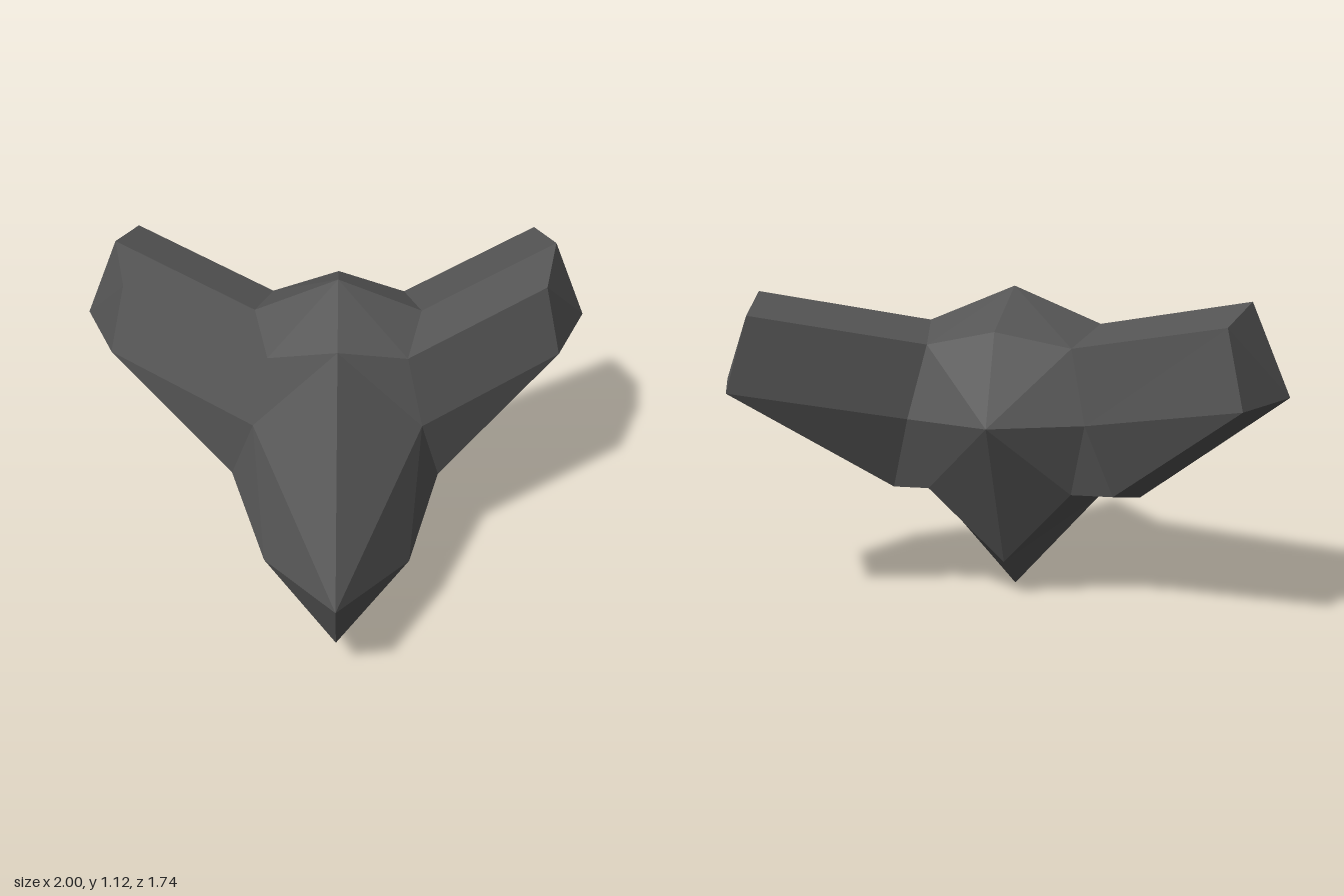
import * as THREE from 'three';

// Body is a faceted ball (a rounded cube grid); keys give direction as [side, up, front]
const R = 0.45, CENTRE = new THREE.Vector3(0.012, 0.67, -0.23);

const T = [0, 1, 0], TF = [0, 1, 1], TB = [0, 1, -1], TS = [1, 1, 0], TFS = [1, 1, 1], TBS = [1, 1, -1];
const F = [0, 0, 1], FS = [1, 0, 1], B = [0, 0, -1], BS = [1, 0, -1], S = [1, 0, 0];
const L = [0, -1, 0], LF = [0, -1, 1], LB = [0, -1, -1], LS = [1, -1, 0], LFS = [1, -1, 1], LBS = [1, -1, -1];

// Pulls that stretch the ball into the nose and the keel
const pulls = new Map([
  [F, [0, -0.25, 0.65]],
  [LF, [0, -0.22, 0.61]],
  [LFS, [0.01, -0.12, 0.39]],
  [L, [0, -0.22, 0]],
  [LB, [0, -0.22, 0.13]],
]);

const ball = (key, s) =>
  new THREE.Vector3(key[0] * s, key[1], key[2]).normalize().multiplyScalar(R).add(CENTRE);

function bodyPoint(key, s) {
  const p = ball(key, s);
  const [dx, dy, dz] = pulls.get(key) ?? [0, 0, 0];
  return p.add(new THREE.Vector3(dx * s, dy, dz));
}

// Wing tip: upper points sweep out, up and back; lower points only slide out
function tipPoint(key, s) {
  const p = ball(key, s);
  return key[1] < 0
    ? p.add(new THREE.Vector3(s * 0.14 - 0.01, 0, 0))
    : p.add(new THREE.Vector3(s * 0.552 - 0.0125, 0.125, -0.325));
}

// Adds a quad split along a-c, with its order reversed on the mirrored side
function quad(out, s, a, b, c, d) {
  const tris = s > 0 ? [a, b, c, a, c, d] : [a, c, b, a, d, c];
  tris.forEach((p) => out.push(p.x, p.y, p.z));
}

// Unshared corners give flat facets
function facetMesh(name, coords, material) {
  const geometry = new THREE.BufferGeometry();
  geometry.setAttribute('position', new THREE.Float32BufferAttribute(coords, 3));
  geometry.computeVertexNormals();
  const mesh = new THREE.Mesh(geometry, material);
  mesh.name = name;
  return mesh;
}

function makePanels(name, panels, material) {
  const coords = [];
  for (const s of [1, -1])
    for (const panel of panels) quad(coords, s, ...panel.map((key) => bodyPoint(key, s)));
  return facetMesh(name, coords, material);
}

function makeWing(name, s, material) {
  const ring = [TS, TFS, FS, LFS, LS, LBS, BS, TBS];
  const base = ring.map((key) => bodyPoint(key, s));
  const tip = ring.map((key) => tipPoint(key, s));
  const end = tipPoint(S, s);
  const coords = [];
  for (let n = 0; n < 8; n++) {
    const m = (n + 1) % 8;
    // Sides of the wing
    if (n === 3 || n === 5) quad(coords, s, base[m], tip[m], tip[n], base[n]);
    else quad(coords, s, base[n], base[m], tip[m], tip[n]);
    // End cap
    if (n % 2 === 0) quad(coords, s, end, tip[n], tip[m], tip[(n + 2) % 8]);
  }
  return facetMesh(name, coords, material);
}

export function createModel() {
  const group = new THREE.Group();
  group.name = 'facetedWingedBody';
  const grey = new THREE.MeshStandardMaterial({ color: 0x555555 });
  grey.name = 'darkGrey';

  group.add(
    makePanels('crown', [[T, TF, TFS, TS], [T, TS, TBS, TB]], grey),
    makePanels('nose', [[TF, F, FS, TFS], [F, LF, LFS, FS]], grey),
    makePanels('back', [[B, TB, TBS, BS], [B, BS, LBS, LB]], grey),
    makePanels('keel', [[L, LS, LFS, LF], [LB, LBS, LS, L]], grey),
    makeWing('leftWing', 1, grey),
    makeWing('rightWing', -1, grey),
  );
  return group;
}
